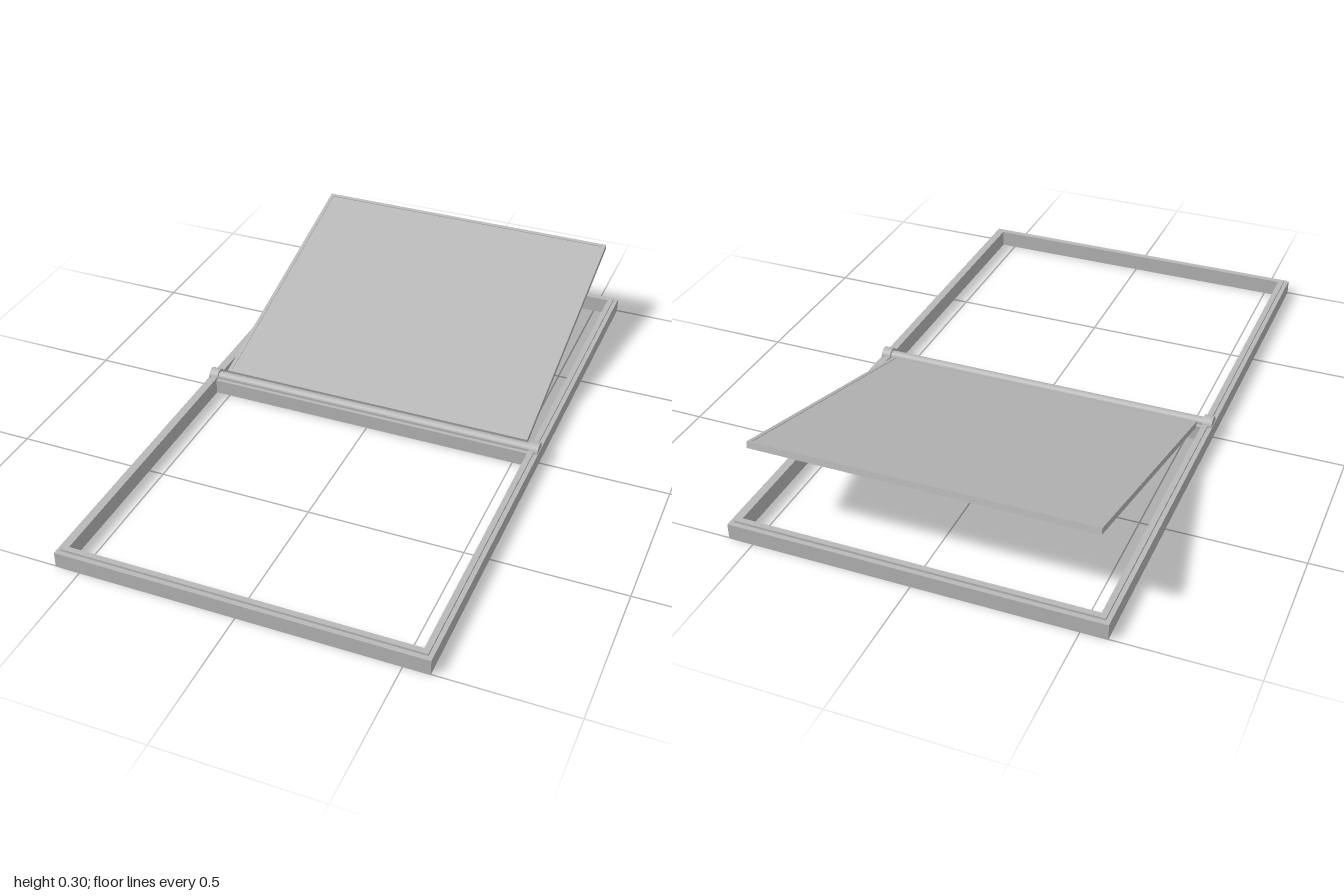
import * as THREE from 'three';

export function createModel() {
  const model = new THREE.Group();
  const grey = new THREE.MeshStandardMaterial({ color: 0xb8b8b8 });
  grey.name = 'frame grey';

  const add = (parent, name, geometry, x, y, z) => {
    const mesh = new THREE.Mesh(geometry, grey);
    mesh.name = name;
    mesh.position.set(x, y, z);
    parent.add(mesh);
    return mesh;
  };
  const box = (parent, name, w, h, d, x, y, z) =>
    add(parent, name, new THREE.BoxGeometry(w, h, d), x, y, z);

  // Rectangular ring lying flat: outer and inner half sizes, bottom and height
  const ring = (parent, name, ox, oz, ix, iz, y, h) => {
    const shape = new THREE.Shape();
    shape.moveTo(-ox, -oz).lineTo(ox, -oz).lineTo(ox, oz).lineTo(-ox, oz).closePath();
    const hole = new THREE.Path();
    hole.moveTo(-ix, -iz).lineTo(-ix, iz).lineTo(ix, iz).lineTo(ix, -iz).closePath();
    shape.holes.push(hole);
    const geometry = new THREE.ExtrudeGeometry(shape, { depth: h, bevelEnabled: false });
    geometry.rotateX(-Math.PI / 2);
    return add(parent, name, geometry, 0, y, 0);
  };

  // Fixed outer frame with a low inner lip
  const frame = new THREE.Group();
  frame.name = 'outerFrame';
  model.add(frame);
  ring(frame, 'frameBase', 0.58, 1, 0.548, 0.967, 0, 0.049);
  ring(frame, 'frameLip', 0.566, 0.985, 0.548, 0.967, 0.049, 0.007);

  // Middle crossbar with a raised strip
  box(frame, 'crossbar', 1.1, 0.049, 0.06, 0, 0.0245, 0);
  box(frame, 'crossbarLip', 1.1, 0.008, 0.036, 0, 0.053, 0);

  // Hinge rod and rounded hinge caps
  const rod = new THREE.CylinderGeometry(0.016, 0.016, 1.1, 24);
  add(model, 'hingeRod', rod, 0, 0.05, 0).rotation.z = Math.PI / 2;
  for (const side of [-1, 1]) {
    const cap = new THREE.CylinderGeometry(0.025, 0.025, 0.031, 24);
    add(model, 'hingeCap', cap, side * 0.5625, 0.049, 0).rotation.z = Math.PI / 2;
  }

  // Tilted sash: a thin rim around a slightly recessed panel
  const sash = new THREE.Group();
  sash.name = 'tiltedSash';
  sash.position.set(0, 0.046, 0);
  sash.rotation.x = THREE.MathUtils.degToRad(15);
  model.add(sash);
  const rim = ring(sash, 'sashRim', 0.53, 0.468, 0.518, 0.456, -0.01, 0.02);
  rim.position.z = -0.493;
  box(sash, 'sashPanel', 1.038, 0.016, 0.914, 0, 0, -0.493);

  return model;
}
